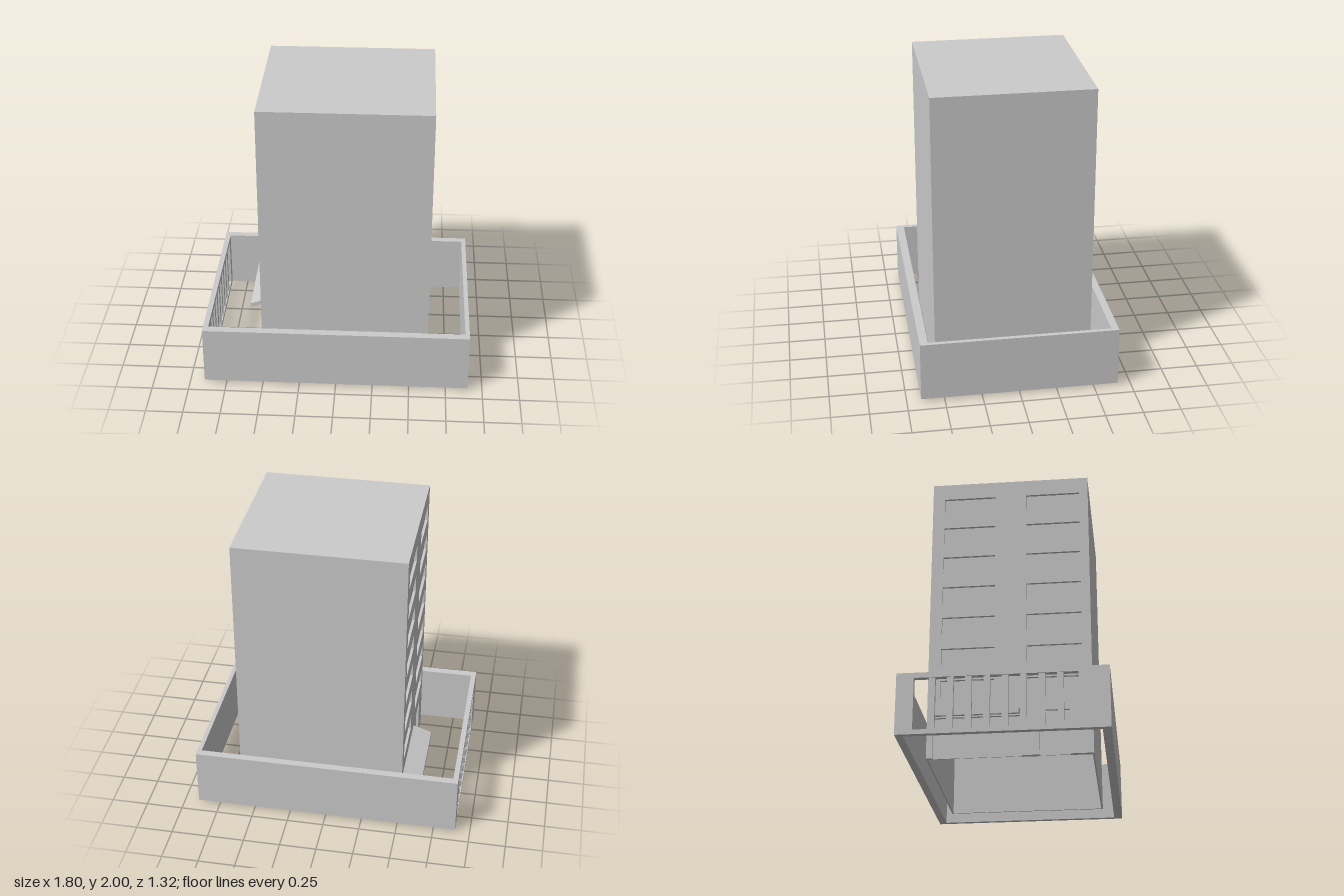
import * as THREE from 'three';

const mat = new THREE.MeshStandardMaterial({ color: 0xcccccc, flatShading: true, side: THREE.DoubleSide });

function add(parent, name, geometry) {
  const mesh = new THREE.Mesh(geometry, mat);
  mesh.name = name;
  parent.add(mesh);
  return mesh;
}

// Box given by its minimum and maximum corners
function block(parent, name, x0, x1, y0, y1, z0, z1) {
  const mesh = add(parent, name, new THREE.BoxGeometry(x1 - x0, y1 - y0, z1 - z0));
  mesh.position.set((x0 + x1) / 2, (y0 + y1) / 2, (z0 + z1) / 2);
  return mesh;
}

function rectPath(z0, z1, y0, y1) {
  return new THREE.Path([[z0, y0], [z0, y1], [z1, y1], [z1, y0]].map(p => new THREE.Vector2(...p)));
}

// Wall drawn in (z, y), extruded towards -x to its outer face
function sideWall(parent, name, points, holes, outerX, depth) {
  const shape = new THREE.Shape(points.map(p => new THREE.Vector2(...p)));
  shape.holes = holes.map(h => rectPath(...h));
  const wall = add(parent, name, new THREE.ExtrudeGeometry(shape, { depth, bevelEnabled: false }));
  wall.rotation.y = -Math.PI / 2;
  wall.position.x = outerX + depth;
  return wall;
}

function createTower() {
  const tower = new THREE.Group();
  tower.name = 'tower';
  const [x0, x1, z0, z1, t] = [-0.51, 0.62, -0.53, 0.53, 0.01];
  const wallDepth = 0.03, xi = x0 + wallDepth;

  // Hollow shell, open underneath
  block(tower, 'roof', xi, x1, 2 - t, 2, z0, z1);
  block(tower, 'frontWall', xi, x1, 0, 2 - t, z1 - t, z1);
  block(tower, 'backWall', xi, x1, 0, 2 - t, z0, z0 + t);
  block(tower, 'plainSideWall', x1 - t, x1, 0, 2 - t, z0 + t, z1 - t);

  // Two columns of seven windows
  const windows = [];
  for (let row = 0; row < 7; row++) {
    const top = 1.885 - row * 0.226;
    for (const [a, b] of [[-0.45, -0.1], [0.11, 0.47]]) windows.push([a, b, top - 0.115, top]);
  }
  // Doorways are notches in the bottom edge
  const gate = [-0.49, 0.08, 0, 0.27], door = [0.19, 0.38, 0, 0.3];
  const outline = [[z0, 0]];
  for (const [a, b, , top] of [gate, door]) outline.push([a, 0], [a, top], [b, top], [b, 0]);
  outline.push([z1, 0], [z1, 2], [z0, 2]);
  sideWall(tower, 'windowWall', outline, windows, x0, wallDepth);

  // Recessed panes and door leaves
  const panel = (name, [a, b, y0, y1]) => block(tower, name, xi - 0.012, xi - 0.006, y0, y1, a, b);
  windows.forEach(w => panel('windowPane', w));
  panel('wideDoor', gate);
  panel('smallDoor', door);

  // Sloping canopy over the wide door
  const profile = new THREE.Shape([[x0, 0.28], [x0, 0.31], [-0.64, 0.265], [-0.64, 0.235]]
    .map(p => new THREE.Vector2(...p)));
  const canopy = add(tower, 'canopy', new THREE.ExtrudeGeometry(profile, { depth: 0.56, bevelEnabled: false }));
  canopy.position.z = -0.49;
  return tower;
}

function createFence() {
  const fence = new THREE.Group();
  fence.name = 'perimeterWall';
  const [x0, x1, z0, z1, y0, y1] = [-0.9, 0.9, -0.66, 0.655, 0.015, 0.42];
  const zi0 = -0.61, zi1 = 0.6;
  block(fence, 'frontBoundaryWall', x0, x1, y0, y1, zi1, z1);
  block(fence, 'backBoundaryWall', x0, x1, y0, y1, z0, zi0);
  block(fence, 'sideBoundaryWall', 0.87, x1, y0, y1, zi0, zi1);

  // Side with a barred opening between two rails
  const open = [-0.55, 0.465, 0.045, 0.385];
  sideWall(fence, 'barredBoundaryWall', [[zi0, y0], [zi1, y0], [zi1, y1], [zi0, y1]], [open], x0, 0.035);
  const gaps = 9, pitch = (open[1] - open[0]) / gaps;
  for (let i = 1; i < gaps; i++) {
    const z = open[0] + i * pitch;
    block(fence, 'fenceBar', -0.895, -0.87, open[2], open[3], z - 0.02, z + 0.02);
  }
  return fence;
}

export function createModel() {
  const model = new THREE.Group();
  model.name = 'towerBlock';
  model.add(createTower(), createFence());
  return model;
}
